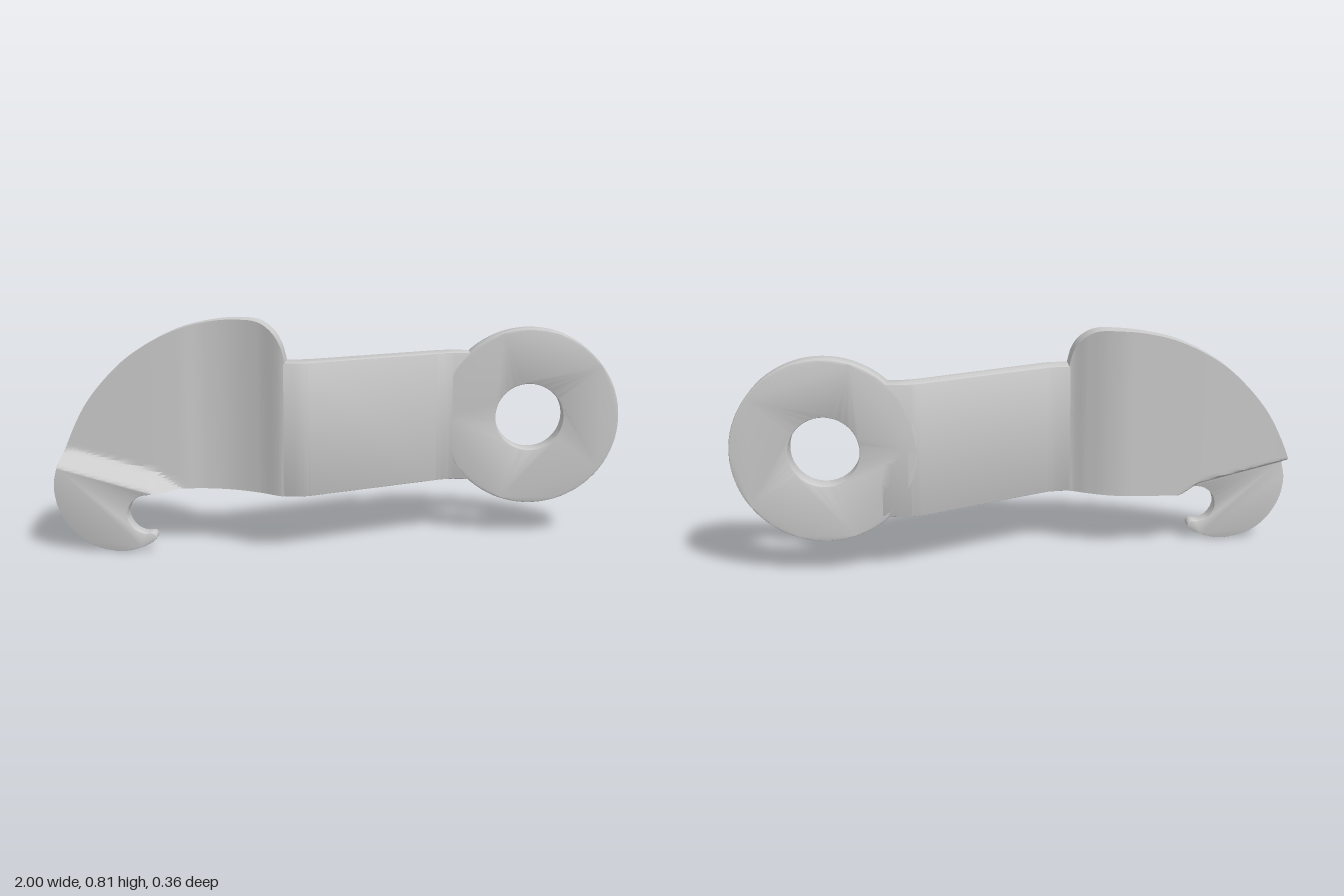
import * as THREE from 'three';
import { toCreasedNormals } from 'three/addons/utils/BufferGeometryUtils.js';

const material = new THREE.MeshStandardMaterial({ color: 0xcccccc });
const vecs = (pts) => pts.map(([x, y]) => new THREE.Vector2(x, y));

function addPart(group, name, geometry) {
  const mesh = new THREE.Mesh(toCreasedNormals(geometry, 0.6), material);
  mesh.name = name;
  group.add(mesh);
  return mesh;
}

// Plate with softly broken edges, filling z = 0 to depth
function plate(shape, depth, bevel = 0.006) {
  const geometry = new THREE.ExtrudeGeometry(shape, {
    depth: depth - 2 * bevel, curveSegments: 40,
    bevelThickness: bevel, bevelSize: bevel, bevelOffset: -bevel, bevelSegments: 2,
  });
  return geometry.translate(0, 0, bevel);
}

// Smooth interpolation through a short list of [x, value] pairs
function profile(pts) {
  return (x) => {
    const n = pts.length - 1;
    if (x <= pts[0][0]) return pts[0][1];
    if (x >= pts[n][0]) return pts[n][1];
    const i = pts.findIndex((p) => p[0] > x) - 1;
    const slope = (k) => (k <= 0 || k >= n ? 0
      : (pts[k + 1][1] - pts[k - 1][1]) / (pts[k + 1][0] - pts[k - 1][0]));
    const h = pts[i + 1][0] - pts[i][0], t = (x - pts[i][0]) / h, t2 = t * t, t3 = t2 * t;
    return (2 * t3 - 3 * t2 + 1) * pts[i][1] + (t3 - 2 * t2 + t) * h * slope(i)
      + (3 * t2 - 2 * t3) * pts[i + 1][1] + (t3 - t2) * h * slope(i + 1);
  };
}

const BOTTOM = 0.207;
// Sloping fold between the hook and the shield
const foldLine = (x) => 0.21 - 0.26 * (x + 0.66);

// Curved shield: one closed front-and-back section per column of the top outline
function shieldGeometry() {
  const outline = new THREE.SplineCurve(vecs([
    [-0.988, 0.297], [-0.97, 0.37], [-0.9, 0.51], [-0.8, 0.63], [-0.7, 0.71], [-0.57, 0.775],
    [-0.45, 0.805], [-0.35, 0.813], [-0.28, 0.807], [-0.23, 0.775], [-0.2, 0.73], [-0.185, 0.675],
  ])).getPoints(90);
  const frontZ = profile([[-1, 0.085], [-0.57, 0.085], [-0.48, 0.077], [-0.38, 0.09],
    [-0.28, 0.128], [-0.21, 0.17], [-0.18, 0.178]]);
  const backZ = profile([[-1, 0.01], [-0.4, 0.01], [-0.32, 0.025], [-0.25, 0.055], [-0.18, 0.088]]);
  const rows = 30, size = 2 * (rows + 1);
  const position = [], index = [];

  outline.forEach(({ x, y: top }) => {
    const low = Math.max(BOTTOM, foldLine(x));
    const section = (z, foldZ, width) => Array.from({ length: rows + 1 }, (_, j) => {
      const y = low + Math.max(0.001, top - low) * Math.pow(j / rows, 2);
      const d = y - foldLine(x) + 0.4 * Math.max(0, x + 0.66);
      const k = THREE.MathUtils.smoothstep(d, 0, width);
      return [x, y, foldZ + (z - foldZ) * k];
    });
    const front = section(frontZ(x), 0.18, 0.065);
    const back = section(backZ(x), 0.123, 0.05).reverse();
    position.push(...front.flat(), ...back.flat());
  });

  const quad = (a, b, c, d) => index.push(a, b, c, a, c, d);
  const last = (outline.length - 1) * size;
  for (let i = 0; i < last; i += size) {
    for (let j = 0; j < size; j++) {
      const k = (j + 1) % size;
      quad(i + j, i + size + j, i + size + k, i + k);
    }
  }
  // End caps
  for (let j = 0; j < rows; j++) {
    const b = size - 1 - j;
    quad(j, j + 1, b - 1, b);
    quad(last + j, last + b, last + b - 1, last + j + 1);
  }
  const geometry = new THREE.BufferGeometry();
  geometry.setAttribute('position', new THREE.Float32BufferAttribute(position, 3));
  geometry.setIndex(index);
  return geometry;
}

export function createModel() {
  const group = new THREE.Group();
  group.name = 'bentLever';

  // Round eye with its hole
  const eye = new THREE.Shape().absarc(0.675, 0.442, 0.32, 0, Math.PI * 2);
  eye.holes.push(new THREE.Path().absarc(0.675, 0.442, 0.121, 0, Math.PI * 2, true));
  addPart(group, 'eyeRing', plate(eye, 0.08)).position.z = -0.182;

  // Cranked arm: bent strip in plan, extruded upwards
  const strip = new THREE.Shape();
  strip.moveTo(0.48, 0.182);
  strip.lineTo(0.39, 0.182);
  strip.quadraticCurveTo(0.36, 0.182, 0.33, 0.165);
  strip.lineTo(-0.1, -0.07);
  strip.quadraticCurveTo(-0.13, -0.085, -0.19, -0.085);
  strip.lineTo(-0.19, -0.178);
  strip.lineTo(-0.15, -0.178);
  strip.quadraticCurveTo(-0.12, -0.178, -0.09, -0.162);
  strip.lineTo(0.34, 0.08);
  strip.quadraticCurveTo(0.38, 0.103, 0.41, 0.103);
  strip.lineTo(0.48, 0.103);
  strip.closePath();
  const arm = plate(strip, 0.468, 0.004).rotateX(-Math.PI / 2);
  addPart(group, 'crankedArm', arm).position.y = BOTTOM;

  addPart(group, 'curvedShield', shieldGeometry());

  // Hook with rounded tip
  const hook = new THREE.Shape();
  hook.moveTo(-0.66, BOTTOM);
  hook.lineTo(-0.66, foldLine(-0.66) + 0.003);
  hook.lineTo(-0.988, foldLine(-0.988) + 0.003);
  hook.splineThru(vecs([[-1, 0.23], [-0.985, 0.15], [-0.94, 0.075], [-0.87, 0.022], [-0.77, 0],
    [-0.69, 0.018], [-0.65, 0.04], [-0.642, 0.055], [-0.655, 0.068], [-0.685, 0.067],
    [-0.72, 0.085], [-0.742, 0.125], [-0.735, 0.165], [-0.705, 0.197], [-0.66, BOTTOM]]));
  addPart(group, 'hook', plate(hook, 0.058, 0.003)).position.z = 0.123;

  return group;
}
